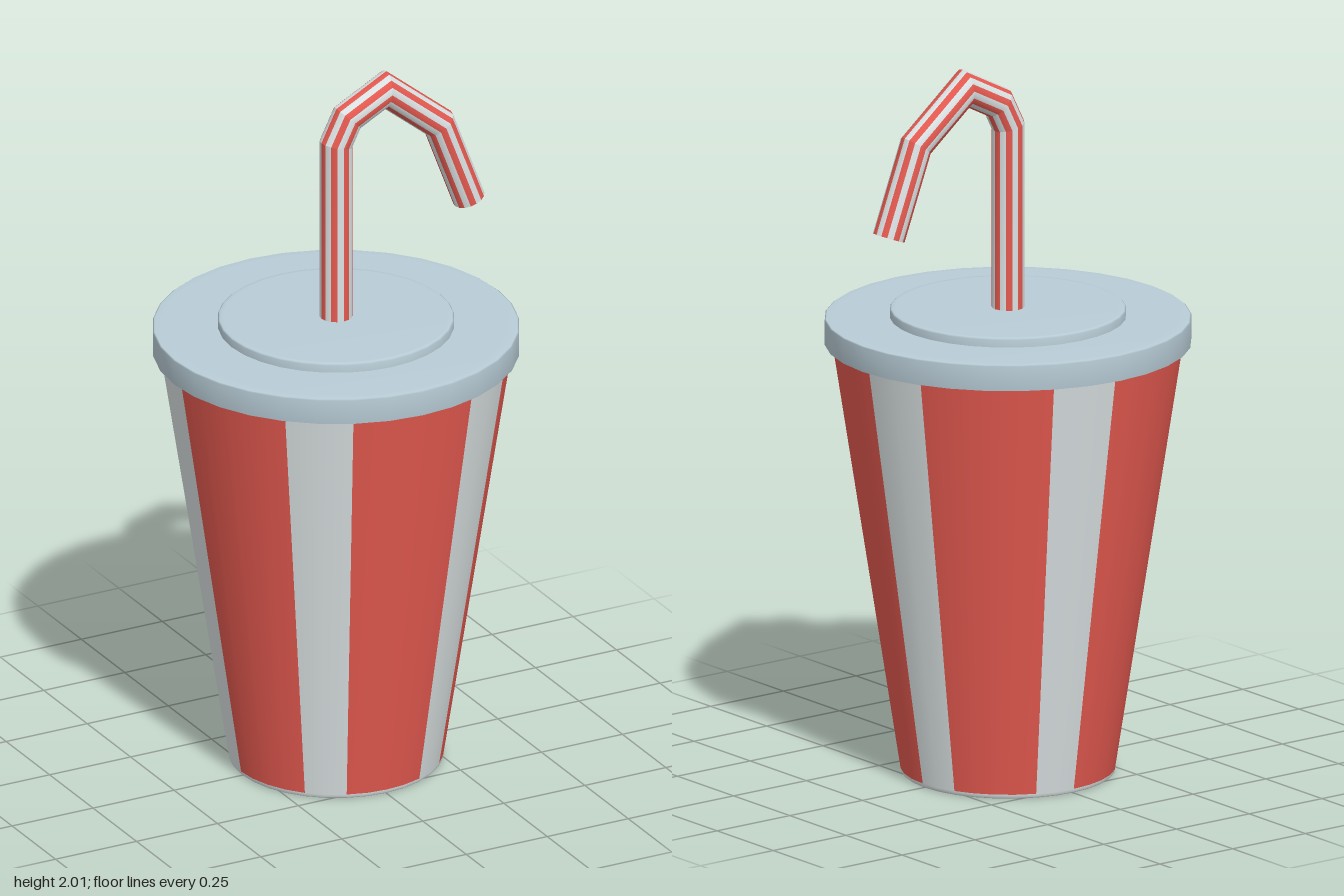
import * as THREE from 'three';

const red = new THREE.MeshStandardMaterial({ color: 0xe55a50 });
const white = new THREE.MeshStandardMaterial({ color: 0xdbe2e3 });
const lidBlue = new THREE.MeshStandardMaterial({ color: 0xb9cdd7 });

// Smooth skin through closed rings of points; isRed(i) picks the colour of each column.
function stripedShell(name, rings, isRed) {
  const n = rings[0].length;
  const geo = new THREE.BufferGeometry().setFromPoints(rings.flat());
  const index = [];
  for (let i = 0; i < n; i++) {
    const start = index.length, j = (i + 1) % n;
    for (let r = 0; r < rings.length - 1; r++) {
      const a = r * n + i, b = r * n + j;
      index.push(a, b, b + n, a, b + n, a + n);
    }
    geo.addGroup(start, index.length - start, isRed(i) ? 0 : 1);
  }
  geo.setIndex(index);
  geo.computeVertexNormals();
  const mesh = new THREE.Mesh(geo, [red, white]);
  mesh.name = name;
  return mesh;
}

function lathe(name, profile, material) {
  const points = profile.map(([x, y]) => new THREE.Vector2(x, y));
  const mesh = new THREE.Mesh(new THREE.LatheGeometry(points, 32), material);
  mesh.name = name;
  return mesh;
}

// Tapered wall: two red wedges, then one white, starting from the right side
function makeCupWall() {
  const ring = (radius, y) => Array.from({ length: 32 }, (_, i) => {
    const a = -Math.PI / 2 + (i / 32) * Math.PI * 2;
    return new THREE.Vector3(Math.sin(a) * radius, y, Math.cos(a) * radius);
  });
  return stripedShell('cupWall', [ring(0.293, 0.012), ring(0.479, 1.215)], (i) => {
    const wedge = Math.floor(i / 2);
    return wedge < 15 && wedge % 3 < 2;
  });
}

// Bent straw with mitred joints and lengthwise stripes
function makeStraw() {
  const straw = new THREE.Group();
  straw.name = 'straw';
  const radius = 0.045, sides = 16;
  const path = [[0, 1.29], [0, 1.823], [0.035, 1.893], [0.15, 1.953], [0.317, 1.818], [0.41, 1.574]]
    .map(([x, y]) => new THREE.Vector3(x, y, 0));
  const dirs = path.slice(1).map((p, i) => p.clone().sub(path[i]).normalize());
  const rings = path.map((p, k) => {
    const before = dirs[Math.max(k - 1, 0)], after = dirs[Math.min(k, dirs.length - 1)];
    const t = before.clone().add(after).normalize();
    const stretch = radius / t.dot(after);
    return Array.from({ length: sides }, (_, i) => {
      const a = (i / sides) * Math.PI * 2;
      const out = Math.cos(a) * stretch;
      return new THREE.Vector3(p.x - t.y * out, p.y + t.x * out, Math.sin(a) * radius);
    });
  });
  for (let k = 0; k < dirs.length; k++) {
    straw.add(stripedShell('strawSection' + (k + 1), [rings[k], rings[k + 1]], (i) => i % 2 === 0));
  }
  // Closed tip
  const tip = new THREE.Mesh(new THREE.CircleGeometry(radius, sides), white);
  tip.name = 'strawTip';
  const end = path[path.length - 1];
  tip.position.copy(end);
  tip.lookAt(end.clone().add(dirs[dirs.length - 1]));
  straw.add(tip);
  return straw;
}

export function createModel() {
  const model = new THREE.Group();
  model.name = 'drinkCup';

  model.add(makeCupWall());

  // Foot rim around a recessed base
  model.add(lathe('cupBase', [[0, 0.03], [0.24, 0.03], [0.255, 0.028], [0.265, 0.004],
    [0.275, 0], [0.288, 0], [0.292, 0.004], [0.293, 0.012]], white));

  // Lid with a softened edge
  model.add(lathe('lid', [[0.46, 1.209], [0.49, 1.209], [0.5, 1.211], [0.5, 1.28],
    [0.496, 1.283], [0.47, 1.284], [0, 1.284]], lidBlue));

  // Raised centre of the lid
  model.add(lathe('lidCentre', [[0.322, 1.28], [0.322, 1.305], [0.318, 1.309],
    [0.305, 1.31], [0, 1.31]], lidBlue));

  model.add(makeStraw());
  return model;
}
